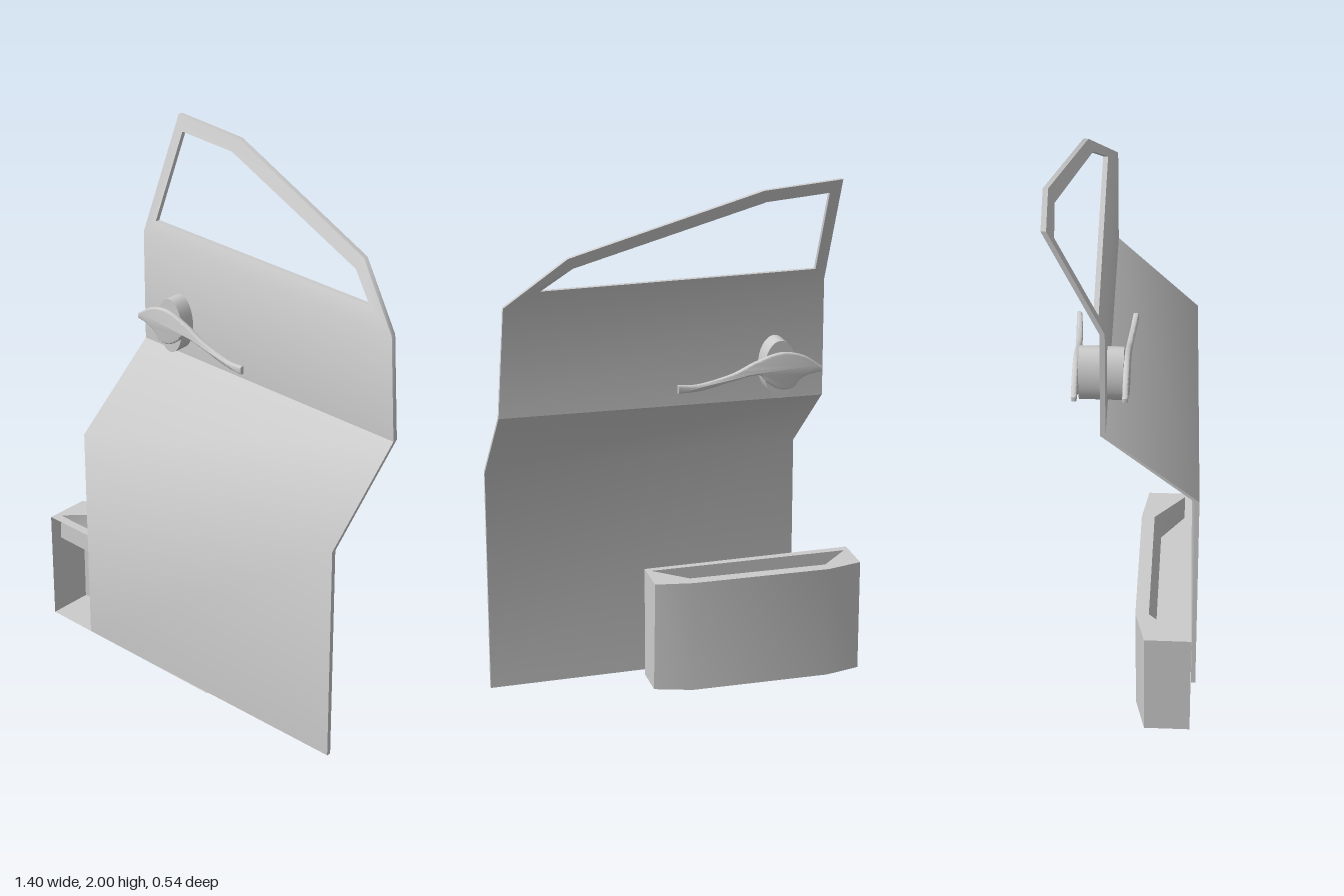
import * as THREE from 'three';
import { toCreasedNormals } from 'three/addons/utils/BufferGeometryUtils.js';

const solid = new THREE.MeshStandardMaterial({ color: 0xcccccc });
const thin = new THREE.MeshStandardMaterial({ color: 0xcccccc, side: THREE.DoubleSide });

function mesh(name, geometry, material = solid) {
  const m = new THREE.Mesh(geometry, material);
  m.name = name;
  return m;
}

// Creased geometry from a list of four-cornered faces
function fromQuads(quads, crease) {
  const pos = quads.flatMap(([a, b, c, d]) => [a, b, c, a, c, d].flat());
  const g = new THREE.BufferGeometry();
  g.setAttribute('position', new THREE.Float32BufferAttribute(pos, 3));
  return toCreasedNormals(g, crease);
}

// Sheet with thickness: front quads, shifted back quads, and edge strips
function sheet(front, edges, t) {
  const back = ([x, y, z]) => [x, y, z - t];
  const quads = [...front];
  front.forEach(q => quads.push(q.map(back).reverse()));
  edges.forEach(line => {
    for (let i = 0; i + 1 < line.length; i++) {
      const a = line[i], b = line[i + 1];
      quads.push([a, back(a), back(b), b]);
    }
  });
  return fromQuads(quads, 1.05);
}

// Open wall between an upper and a lower plan line of [x, z] points
function wall(top, topY, bottom, bottomY) {
  const quads = [];
  for (let i = 0; i + 1 < top.length; i++) {
    const [a, b, c, d] = [top[i], bottom[i], bottom[i + 1], top[i + 1]];
    quads.push([[a[0], topY, a[1]], [b[0], bottomY, b[1]], [c[0], bottomY, c[1]], [d[0], topY, d[1]]]);
  }
  return fromQuads(quads, 0.6);
}

// Horizontal plate from [x, z] points, with an optional hole
function plate(points, y, hole) {
  const vec = p => p.map(([x, z]) => new THREE.Vector2(x, -z));
  const shape = new THREE.Shape(vec(points));
  if (hole) shape.holes.push(new THREE.Path(vec(hole)));
  return new THREE.ShapeGeometry(shape).rotateX(-Math.PI / 2).translate(0, y, 0);
}

function createDoor() {
  const door = new THREE.Group();
  door.name = 'door';
  // Left and right corners of each fold
  const a = [-0.485, 0.02, 0.27], a2 = [0.7, 0.025, 0.235];
  const b = [-0.485, 0.89, 0.27], b2 = [0.7, 0.88, 0.235];
  const c = [-0.485, 1.17, -0.055], c2 = [0.7, 1.185, -0.07];
  door.add(mesh('lowerPanel', sheet(
    [[a, a2, b2, b], [b, b2, c2, c]], [[c, b, a, a2, b2, c2]], 0.016)));

  // Upper panel and window frame
  const outer = [[-0.485, 1.6, -0.055], [-0.485, 2, -0.24], [-0.2, 1.98, -0.255],
    [0.465, 1.765, -0.165], [0.675, 1.58, -0.07]];
  const inner = [[-0.445, 1.645, -0.077], [-0.445, 1.95, -0.218], [-0.215, 1.935, -0.233],
    [0.445, 1.725, -0.147], [0.55, 1.64, -0.1]];
  const faces = [[c, c2, outer[4], outer[0]]];
  for (let i = 0; i < 5; i++) {
    const j = (i + 1) % 5;
    faces.push([outer[i], inner[i], inner[j], outer[j]]);
  }
  door.add(mesh('upperPanelAndWindowFrame', sheet(
    faces, [[c2, ...[...outer].reverse(), c], [...inner, inner[0]]], 0.018)));
  return door;
}

// Curved lever with a bevelled rim, its tip swept outward
function leverGeometry() {
  const v = p => p.map(([x, y]) => new THREE.Vector2(x, y));
  const shape = new THREE.Shape();
  shape.moveTo(-0.445, 1.305);
  shape.splineThru(v([[-0.38, 1.348], [-0.3, 1.363], [-0.21, 1.337], [-0.12, 1.298], [0, 1.273], [0.075, 1.278]]));
  shape.lineTo(0.075, 1.26);
  shape.splineThru(v([[-0.01, 1.262], [-0.11, 1.283], [-0.215, 1.3], [-0.25, 1.27], [-0.295, 1.242],
    [-0.34, 1.243], [-0.365, 1.27], [-0.4, 1.288], [-0.445, 1.295]]));
  const g = new THREE.ExtrudeGeometry(shape, {
    depth: 0.008, bevelThickness: 0.006, bevelSize: 0.006, bevelSegments: 3, curveSegments: 36,
  });
  const p = g.attributes.position;
  for (let i = 0; i < p.count; i++) {
    const s = Math.max(0, (p.getX(i) + 0.2) / 0.28);
    p.setZ(i, p.getZ(i) + 0.006 + 0.014 * s * s);
  }
  return toCreasedNormals(g, 0.7);
}

function createHandles() {
  const handles = new THREE.Group();
  handles.name = 'handles';
  // Oval spindle through the panel
  const spindle = mesh('handleSpindle',
    new THREE.CylinderGeometry(1, 1, 0.155, 32).rotateX(Math.PI / 2).scale(0.06, 0.106, 1));
  spindle.position.set(-0.302, 1.303, -0.077);
  handles.add(spindle);
  // Levers outside and inside
  const lever = leverGeometry();
  const outside = mesh('outsideLever', lever);
  const inside = mesh('insideLever', lever);
  inside.scale.z = -1;
  inside.position.z = -0.154;
  handles.add(outside, inside);
  return handles;
}

function createPocket() {
  const pocket = new THREE.Group();
  pocket.name = 'doorPocket';
  const top = [[0.1, 0.235], [0.1, 0.075], [-0.04, 0.052], [-0.57, 0.052], [-0.705, 0.088], [-0.705, 0.255]];
  const bottom = [[0.1, 0.235], [0.1, 0.1], [-0.04, 0.055], [-0.57, 0.055], [-0.705, 0.09], [-0.705, 0.255]];
  const h = 0.435;
  pocket.add(mesh('pocketWalls', wall(top, h, bottom, 0), thin));
  pocket.add(mesh('pocketFloor', plate(bottom, 0), thin));
  // Recessed tray in the top
  const slot = [[0.08, 0.21], [-0.04, 0.1], [-0.57, 0.1], [-0.685, 0.22]];
  const tray = [[0.08, 0.212], [-0.04, 0.125], [-0.57, 0.125], [-0.69, 0.222]];
  pocket.add(mesh('pocketTop', plate(top, h, slot), thin));
  pocket.add(mesh('trayWalls', wall([...slot, slot[0]], h, [...tray, tray[0]], 0.335), thin));
  pocket.add(mesh('trayFloor', plate(tray, 0.335), thin));
  return pocket;
}

export function createModel() {
  const model = new THREE.Group();
  model.name = 'vehicleDoor';
  model.add(createDoor(), createHandles(), createPocket());
  return model;
}
